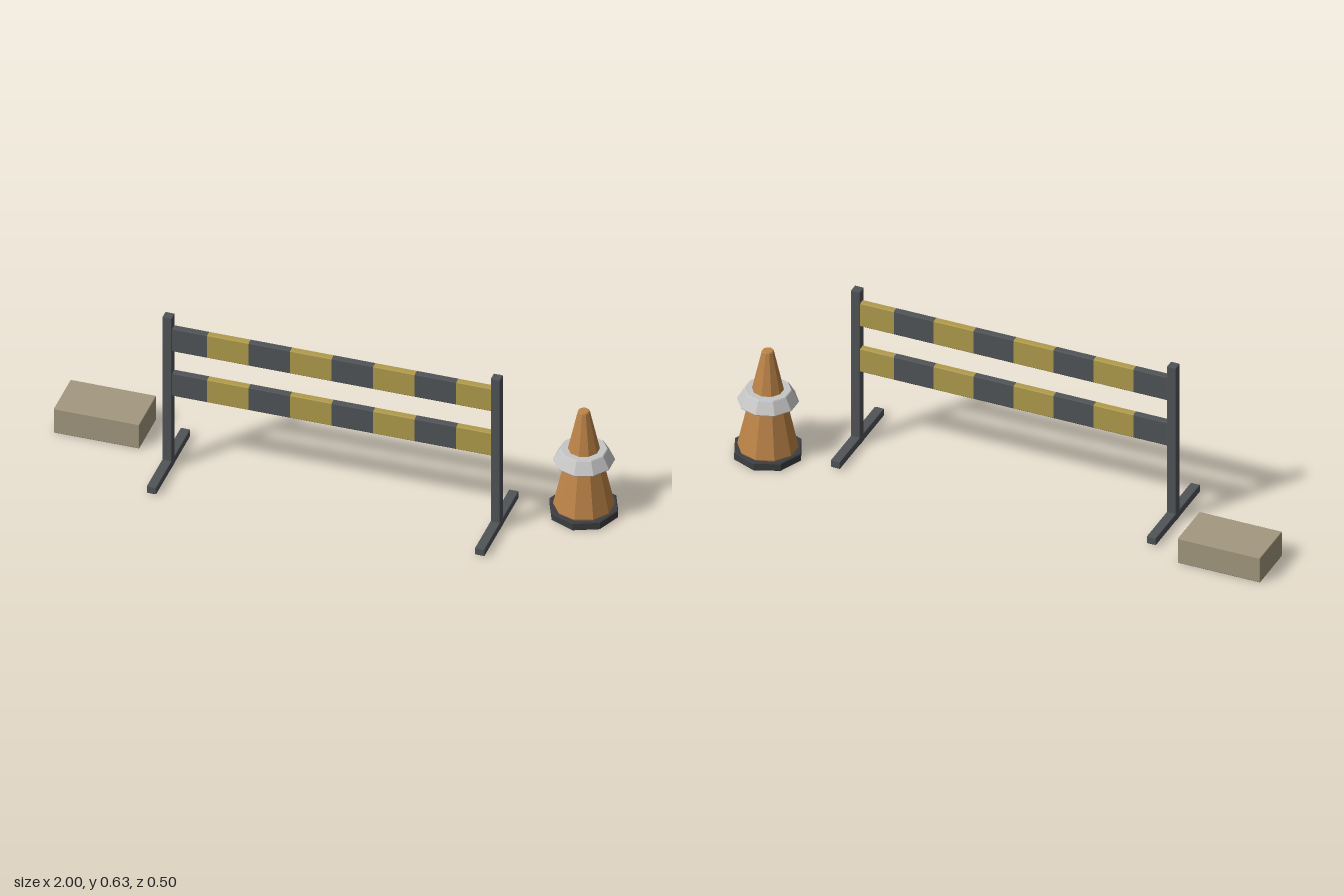
import * as THREE from 'three';
import { RoundedBoxGeometry } from 'three/addons/geometries/RoundedBoxGeometry.js';

function material(name, color) {
  const m = new THREE.MeshStandardMaterial({ color });
  m.name = name;
  return m;
}

function addMesh(parent, name, geometry, mat, x, y, z) {
  const mesh = new THREE.Mesh(geometry, mat);
  mesh.name = name;
  mesh.position.set(x, y, z);
  parent.add(mesh);
  return mesh;
}

// Box with narrow softened edges
const softBox = (w, h, d) => new RoundedBoxGeometry(w, h, d, 1, 0.003);

// Faceted solid of revolution from [radius, y] points
function faceted(points, sides) {
  const profile = points.map(([r, y]) => new THREE.Vector2(r, y));
  const geometry = new THREE.LatheGeometry(profile, sides).toNonIndexed();
  geometry.computeVertexNormals();
  return geometry;
}

// Length of board along x with chamfered long edges
function boardPiece(length, height, depth) {
  const h = height / 2, d = depth / 2, c = 0.003;
  const outline = [
    [-d + c, -h], [d - c, -h], [d, -h + c], [d, h - c],
    [d - c, h], [-d + c, h], [-d, h - c], [-d, -h + c],
  ];
  const shape = new THREE.Shape(outline.map(([a, b]) => new THREE.Vector2(a, b)));
  const geometry = new THREE.ExtrudeGeometry(shape, { depth: length, bevelEnabled: false });
  geometry.translate(0, 0, -length / 2);
  geometry.rotateY(Math.PI / 2);
  return geometry;
}

export function createModel() {
  const model = new THREE.Group();
  model.name = 'roadworkSet';

  const steel = material('dark grey steel', 0x505458);
  const rubber = material('black rubber', 0x3b3e41);
  const yellow = material('dull yellow', 0xb09c4c);
  const orange = material('faded orange', 0xbd8448);
  const white = material('pale grey band', 0xc6c6c6);
  const stone = material('sand stone', 0xa3987f);

  // Barrier: two posts on long feet
  const barrier = new THREE.Group();
  barrier.name = 'barrier';
  barrier.position.set(0.03, 0, 0.062);
  model.add(barrier);
  for (const [side, label] of [[1, 'left'], [-1, 'right']]) {
    addMesh(barrier, label + 'Post', softBox(0.034, 0.625, 0.034), steel, side * 0.593, 0.3145, 0);
    addMesh(barrier, label + 'Foot', softBox(0.035, 0.029, 0.373), steel, side * 0.593, 0.019, 0);
  }

  // Two striped boards, eight bands each; the ends sit inside the posts
  const band = 0.15, count = 8;
  const bandGeometry = boardPiece(band, 0.095, 0.026);
  for (const [label, y] of [['lowerBoard', 0.348], ['upperBoard', 0.533]]) {
    const board = new THREE.Group();
    board.name = label;
    barrier.add(board);
    for (let i = 0; i < count; i++) {
      const x = (i - (count - 1) / 2) * band;
      addMesh(board, 'stripe' + (i + 1), bandGeometry, i % 2 ? yellow : steel, x, y, -0.002);
    }
  }

  // Traffic cone
  const cone = new THREE.Group();
  cone.name = 'trafficCone';
  cone.position.set(0.876, 0, -0.124);
  model.add(cone);
  addMesh(cone, 'coneBase', faceted(
    [[0, 0], [0.121, 0], [0.124, 0.003], [0.124, 0.028], [0.121, 0.031], [0, 0.031]], 8), rubber, 0, 0, 0);
  addMesh(cone, 'coneBody', faceted(
    [[0, 0.029], [0.105, 0.031], [0.106, 0.035], [0.021, 0.416], [0.018, 0.42], [0, 0.42]], 10), orange, 0, 0, 0);
  addMesh(cone, 'coneCollar', faceted(
    [[0, 0.215], [0.106, 0.215], [0.107, 0.218], [0.083, 0.26], [0.08, 0.263], [0, 0.263]], 10), white, 0, 0, 0);

  // Loose block
  addMesh(model, 'block', softBox(0.31, 0.1, 0.186), stone, -0.845, 0.05, -0.096);

  return model;
}
